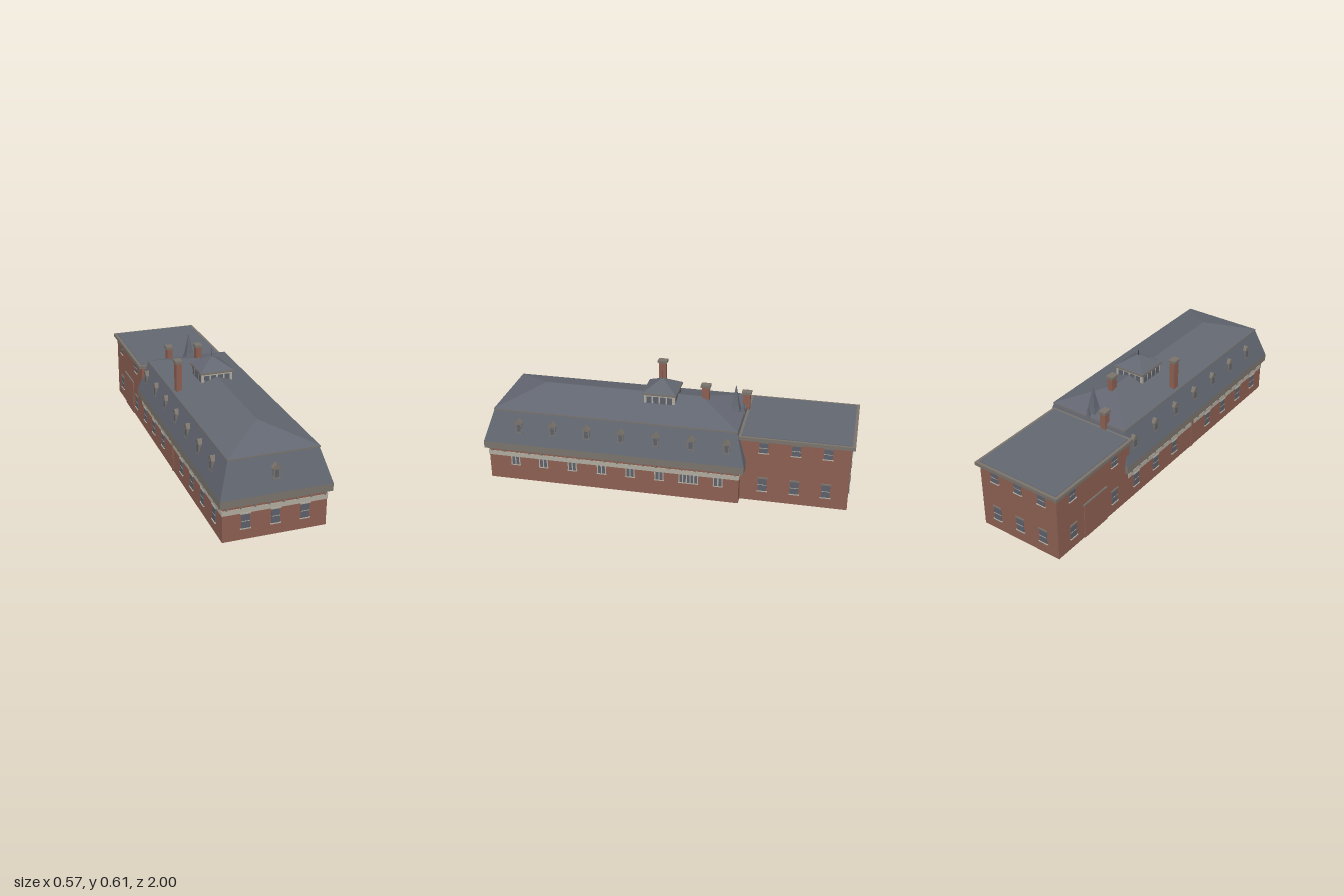
import * as THREE from 'three';
import { ConvexGeometry } from 'three/addons/geometries/ConvexGeometry.js';

const mat = (name, color) => {
  const m = new THREE.MeshStandardMaterial({ color });
  m.name = name;
  return m;
};
const brick = mat('brick', 0x8c5f52);
const slate = mat('slate', 0x636771);
const glass = mat('glass', 0x5d606b);
const taupe = mat('taupe trim', 0x79736b);
const cream = mat('cream trim', 0xb0ab9e);
const iron = mat('iron', 0x4a4c52);

function add(parent, name, geo, material) {
  const m = new THREE.Mesh(geo, material);
  m.name = name;
  parent.add(m);
  return m;
}
// box given by its min and max on each axis
function box(parent, name, material, x0, x1, y0, y1, z0, z1) {
  const g = new THREE.BoxGeometry(x1 - x0, y1 - y0, z1 - z0);
  g.translate((x0 + x1) / 2, (y0 + y1) / 2, (z0 + z1) / 2);
  return add(parent, name, g, material);
}
// tapered solid between two rectangles [x0, x1, z0, z1]
function taper(parent, name, material, a, ya, b, yb) {
  const pts = [];
  for (const [r, y] of [[a, ya], [b, yb]])
    for (const x of [r[0], r[1]]) for (const z of [r[2], r[3]]) pts.push(new THREE.Vector3(x, y, z));
  return add(parent, name, new ConvexGeometry(pts), material);
}
const square = (x, z, h) => [x - h, x + h, z - h, z + h];

// group whose local +z points out of a wall
function onWall(parent, name, x, z, turn) {
  const g = new THREE.Group();
  g.name = name;
  g.position.set(x, 0, z);
  g.rotation.y = turn * Math.PI / 2;
  parent.add(g);
  return g;
}

// sash window with sill, cross bar and lintel
function sash(g, w, y0, y1, lintel) {
  const h = w / 2, ym = (y0 + y1) / 2;
  box(g, 'pane', glass, -h, h, y0, y1, -0.003, 0.003);
  box(g, 'crossBar', cream, -h, h, ym - 0.0015, ym + 0.0015, -0.003, 0.004);
  box(g, 'sill', cream, -h - 0.005, h + 0.005, y0 - 0.003, y0 + 0.001, -0.003, 0.007);
  box(g, 'lintel', lintel, -h - 0.004, h + 0.004, y1, y1 + 0.008, -0.003, 0.006);
}

// short window split by cream mullions
function mullioned(g, w, panes) {
  const h = w / 2, y0 = 0.094, y1 = 0.143;
  box(g, 'pane', glass, -h, h, y0, y1, -0.003, 0.002);
  for (let i = 0; i <= panes; i++) {
    const x = -h + (w * i) / panes;
    box(g, 'mullion', cream, x - 0.003, x + 0.003, y0, y1, -0.003, 0.004);
  }
  box(g, 'sill', cream, -h - 0.005, h + 0.005, y0 - 0.004, y0, -0.003, 0.006);
}

// gabled dormer
function dormer(g) {
  g.position.y = 0.293;
  const s = new THREE.Shape();
  [[-0.018, 0], [0.018, 0], [0.018, 0.056], [0, 0.075], [-0.018, 0.056]]
    .forEach(([x, y], i) => (i ? s.lineTo(x, y) : s.moveTo(x, y)));
  const geo = new THREE.ExtrudeGeometry(s, { depth: 0.045, bevelEnabled: false });
  geo.translate(0, 0, -0.045);
  add(g, 'dormerBody', geo, taupe);
  const roof = new THREE.Shape();
  [[-0.023, 0.052], [0, 0.075], [0.023, 0.052], [0.023, 0.056], [0, 0.079], [-0.023, 0.056]]
    .forEach(([x, y], i) => (i ? roof.lineTo(x, y) : roof.moveTo(x, y)));
  const rg = new THREE.ExtrudeGeometry(roof, { depth: 0.045, bevelEnabled: false });
  rg.translate(0, 0, -0.043);
  add(g, 'dormerRoof', rg, taupe);
  box(g, 'dormerPane', glass, -0.01, 0.01, 0.008, 0.047, -0.002, 0.001);
  box(g, 'dormerSill', taupe, -0.02, 0.02, 0, 0.004, -0.01, 0.003);
}

function chimney(parent, x, z, y0, y1) {
  box(parent, 'chimneyShaft', brick, x - 0.015, x + 0.015, y0, y1 - 0.015, z - 0.02, z + 0.02);
  box(parent, 'chimneyCap', taupe, x - 0.02, x + 0.02, y1 - 0.015, y1, z - 0.026, z + 0.026);
}

function spire(parent, x, z, r, y0, y1) {
  const mid = y0 + (y1 - y0) * 0.22;
  taper(parent, 'spireBase', slate, square(x, z, r), y0, square(x, z, r * 0.72), mid);
  taper(parent, 'spireTip', slate, square(x, z, r * 0.72), mid, square(x, z, 0.001), y1);
}

export function createModel() {
  const root = new THREE.Group();
  root.name = 'building';
  const part = (name) => {
    const g = new THREE.Group();
    g.name = name;
    root.add(g);
    return g;
  };

  // main wing walls and frieze
  const main = part('mainWing');
  box(main, 'mainWalls', brick, -0.268, 0.265, 0, 0.192, -0.41, 0.98);
  box(main, 'frieze', cream, -0.271, 0.268, 0.142, 0.168, -0.412, 0.983);

  // brackets under the eaves
  const brackets = part('brackets');
  for (let i = 0; i < 8; i++) {
    const x = -0.25 + i * 0.071;
    box(brackets, 'bracket', taupe, x - 0.004, x + 0.004, 0.172, 0.191, 0.97, 0.995);
  }
  for (let i = 0; i < 20; i++) {
    const z = -0.39 + i * 0.071;
    box(brackets, 'bracket', taupe, 0.26, 0.28, 0.172, 0.191, z - 0.004, z + 0.004);
    box(brackets, 'bracket', taupe, -0.28, -0.26, 0.172, 0.191, z - 0.004, z + 0.004);
  }

  // mansard and low hip roof
  const roof = part('mainRoof');
  box(roof, 'eaveBand', taupe, -0.286, 0.286, 0.19, 0.23, -0.438, 1);
  taper(roof, 'mansard', slate, [-0.286, 0.286, -0.438, 1], 0.23, [-0.231, 0.231, -0.39, 0.943], 0.405);
  box(roof, 'curb', taupe, -0.234, 0.234, 0.404, 0.411, -0.393, 0.946);
  taper(roof, 'hipRoof', slate, [-0.234, 0.234, -0.393, 0.946], 0.411, [-0.001, 0.001, -0.16, 0.72], 0.485);

  // dormers
  const dormers = part('dormers');
  dormer(onWall(dormers, 'frontDormer', 0, 0.98, 0));
  for (let i = 0; i < 7; i++) {
    const z = 0.8 - i * 0.19;
    dormer(onWall(dormers, 'leftDormer', 0.264, z, 1));
    dormer(onWall(dormers, 'rightDormer', -0.264, z, -1));
  }

  // main wing windows
  const windows = part('windows');
  for (const x of [-0.153, -0.001, 0.15])
    sash(onWall(windows, 'frontWindow', x, 0.98, 0), 0.044, 0.06, 0.137, cream);
  for (const z of [0.83, 0.67, 0.505, 0.34, 0.18, 0.02, -0.14, -0.3]) {
    const wide = z === -0.14;
    mullioned(onWall(windows, 'leftWindow', 0.265, z, 1), wide ? 0.1 : 0.045, wide ? 5 : 2);
  }
  for (const z of [0.87, 0.7, 0.53, 0.36, 0.02, -0.16, -0.34])
    sash(onWall(windows, 'rightWindow', -0.268, z, -1), 0.044, 0.06, 0.137, cream);
  box(main, 'pilaster', brick, -0.272, -0.26, 0, 0.19, 0.19, 0.21);

  // rear annex with flat roof
  const annex = part('annex');
  box(annex, 'annexWalls', brick, -0.268, 0.213, 0, 0.365, -0.982, -0.4);
  box(annex, 'annexCornice', taupe, -0.285, 0.23, 0.364, 0.383, -1, -0.392);
  box(annex, 'annexRoof', slate, -0.268, 0.215, 0.38, 0.386, -0.984, -0.41);
  box(annex, 'sideBay', brick, -0.273, -0.26, 0, 0.2, -0.78, -0.6);
  box(annex, 'sideBayCap', taupe, -0.275, -0.26, 0.2, 0.207, -0.785, -0.595);
  for (const [y0, y1] of [[0.063, 0.138], [0.292, 0.352]]) {
    for (const z of [-0.53, -0.7, -0.865])
      sash(onWall(windows, 'annexLeftWindow', 0.213, z, 1), 0.046, y0, y1, taupe);
    for (const z of [-0.53, -0.865])
      sash(onWall(windows, 'annexRightWindow', -0.268, z, -1), 0.046, y0, y1, taupe);
    for (const x of [0.12, -0.028, -0.175])
      sash(onWall(windows, 'annexBackWindow', x, -0.982, 2), 0.046, y0, y1, taupe);
  }

  // cupola
  const cupola = part('cupola');
  const cz = 0.057;
  box(cupola, 'cupolaBody', cream, -0.085, 0.085, 0.43, 0.507, cz - 0.085, cz + 0.085);
  for (let side = 0; side < 4; side++) {
    const a = side * Math.PI / 2;
    const g = onWall(cupola, 'cupolaWindows', 0.085 * Math.sin(a), cz + 0.085 * Math.cos(a), side);
    for (const x of [-0.057, -0.019, 0.019, 0.057])
      box(g, 'cupolaPane', glass, x - 0.014, x + 0.014, 0.452, 0.496, -0.002, 0.002);
  }
  box(cupola, 'cupolaEave', taupe, -0.093, 0.093, 0.505, 0.516, cz - 0.093, cz + 0.093);
  taper(cupola, 'cupolaRoof', slate, square(0, cz, 0.092), 0.516, square(0, cz, 0.007), 0.57);
  const rod = new THREE.CylinderGeometry(0.001, 0.002, 0.045, 6);
  rod.translate(0, 0.591, cz);
  add(cupola, 'finial', rod, iron);

  // chimneys and rear spires
  const top = part('roofFeatures');
  chimney(top, -0.203, 0.1, 0.4, 0.59);
  chimney(top, 0, -0.182, 0.44, 0.558);
  chimney(top, -0.107, -0.39, 0.37, 0.488);
  spire(top, 0, -0.345, 0.028, 0.42, 0.565);
  spire(top, 0, -0.388, 0.012, 0.405, 0.47);

  return root;
}
